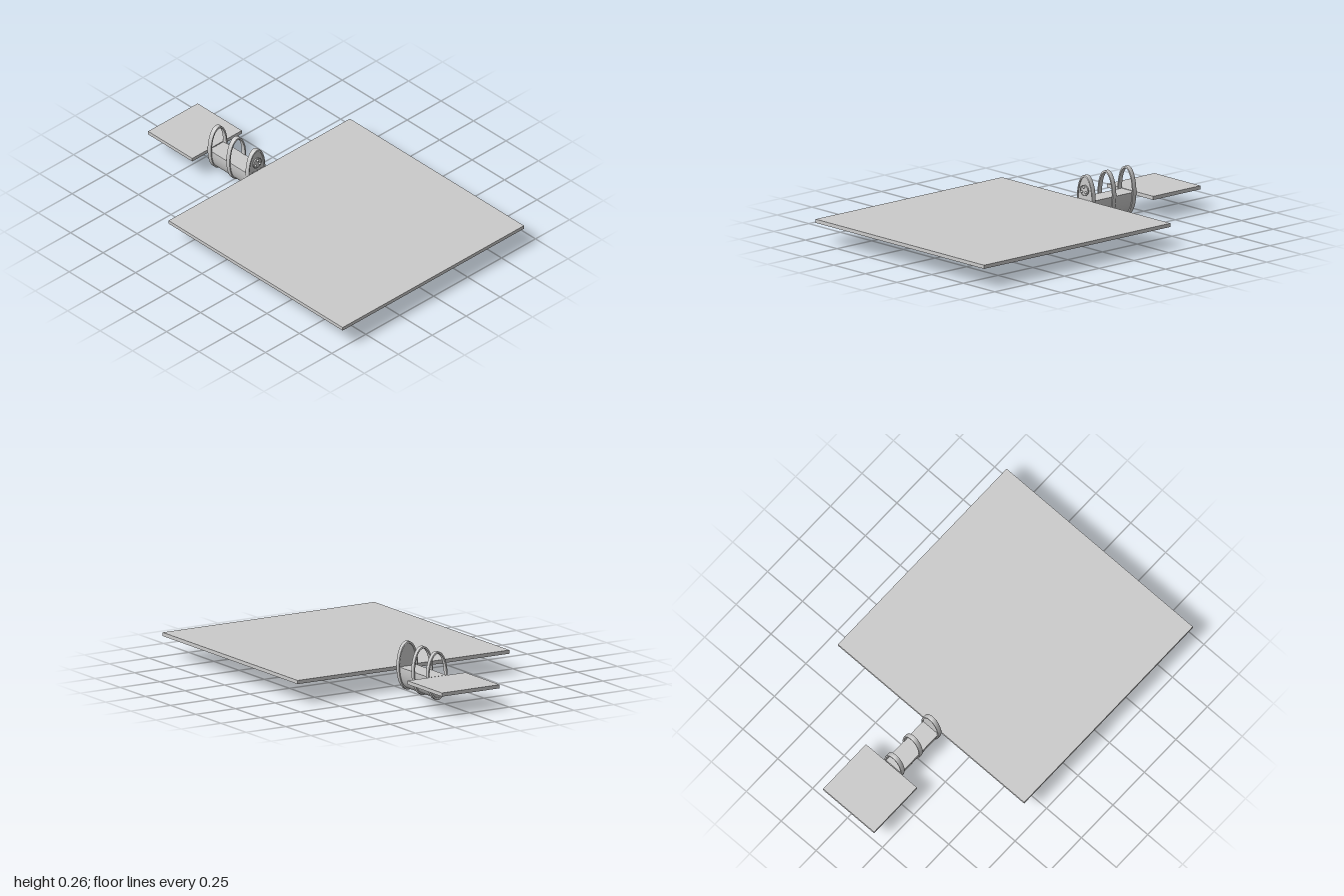
import * as THREE from 'three';
import { toCreasedNormals } from 'three/addons/utils/BufferGeometryUtils.js';

const CX = -0.018, CY = 0.1325; // axis of the passage

export function createModel() {
  const model = new THREE.Group();
  const material = new THREE.MeshStandardMaterial({ color: 0xcccccc, side: THREE.DoubleSide });

  function add(name, geometry, x, y, z) {
    const mesh = new THREE.Mesh(geometry, material);
    mesh.name = name;
    mesh.position.set(x, y, z);
    model.add(mesh);
    return mesh;
  }

  function ellipse(rx, ry, start = 0, end = Math.PI * 2) {
    return new THREE.Shape().absellipse(0, 0, rx, ry, start, end, false, 0);
  }

  function extrude(shape, depth, bevel = 0) {
    const geometry = new THREE.ExtrudeGeometry(shape, {
      depth: depth - 2 * bevel, curveSegments: 40,
      bevelEnabled: bevel > 0, bevelSize: bevel, bevelThickness: bevel,
      bevelOffset: -bevel, bevelSegments: 2,
    });
    geometry.translate(0, 0, bevel - depth / 2);
    return toCreasedNormals(geometry, 0.6);
  }

  // Large and small floor slabs
  add('largeFloor', new THREE.BoxGeometry(1.335, 0.02, 1.34), -0.003, 0.12, 0.33);
  add('smallFloor', new THREE.BoxGeometry(0.365, 0.02, 0.34), -0.008, 0.12, -0.83);

  // Solid lower hull with a flat walkway on top
  add('passageHull', extrude(ellipse(0.055, 0.12, Math.PI, Math.PI * 2), 0.31), CX, CY - 0.003, -0.5);

  // Shallow domes closing both ends of the hull
  for (const [name, z] of [['frontDome', -0.342], ['backDome', -0.655]]) {
    const dome = new THREE.SphereGeometry(1, 40, 16, 0, Math.PI * 2, Math.PI / 2, Math.PI / 2);
    dome.scale(0.054, 0.118, 0.01);
    add(name, dome, CX, CY - 0.005, z);
  }

  // Three upright elliptical hoops
  for (const z of [-0.354, -0.502, -0.646]) {
    const shape = ellipse(0.0615, 0.1325);
    shape.holes.push(new THREE.Path().absellipse(0, 0, 0.052, 0.12, 0, Math.PI * 2, true, 0));
    add('hoop', extrude(shape, 0.027, 0.003), CX, CY, z);
  }

  // Wall filling the front hoop
  add('frontWall', extrude(ellipse(0.054, 0.122), 0.014), CX, CY, -0.353);

  // Round panel with a rim and three studs
  const disc = new THREE.CylinderGeometry(0.029, 0.029, 0.008, 32).rotateX(Math.PI / 2);
  add('panelDisc', disc, CX, 0.181, -0.343);
  add('panelRim', new THREE.TorusGeometry(0.029, 0.002, 8, 32), CX, 0.181, -0.339);
  for (let i = 0; i < 3; i++) {
    const a = Math.PI / 2 + i * Math.PI * 2 / 3;
    add('panelStud', new THREE.SphereGeometry(0.007, 16, 12),
      CX + 0.018 * Math.cos(a), 0.181 + 0.018 * Math.sin(a), -0.336);
  }

  return model;
}
